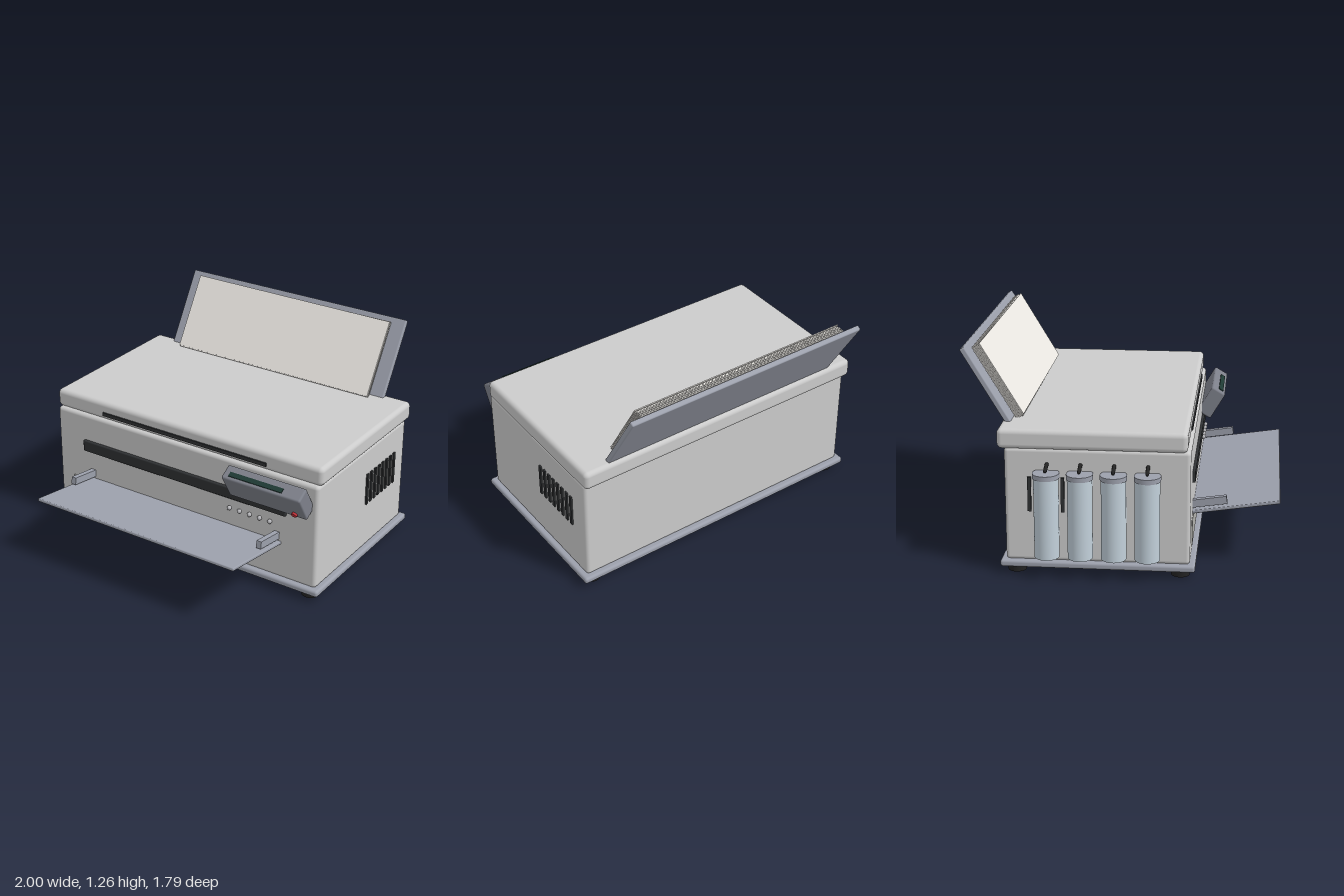
import * as THREE from 'three';
import { RoundedBoxGeometry } from 'three/addons/geometries/RoundedBoxGeometry.js';

const mat = (color) => new THREE.MeshStandardMaterial({ color });
const shell = mat(0xdcdcdc), trim = mat(0x9ca0ac), dark = mat(0x2f3133), rubber = mat(0x222222);
const paper = mat(0xeeebe6), tank = mat(0xc2d0da), panelGrey = mat(0x7d808a);
const windowGrey = mat(0xb2b2ae), screenGreen = mat(0x1f3a34), red = mat(0xc03038), metal = mat(0xb8b8bc);

export function createModel() {
  const model = new THREE.Group();

  const add = (name, geometry, material, x, y, z, parent = model) => {
    const mesh = new THREE.Mesh(geometry, material);
    mesh.name = name;
    mesh.position.set(x, y, z);
    parent.add(mesh);
    return mesh;
  };
  // Box given by its extents on each axis, rounded when r > 0
  const block = (name, material, [x0, x1], [y0, y1], [z0, z1], r = 0) => {
    const size = [x1 - x0, y1 - y0, z1 - z0];
    const geometry = r ? new RoundedBoxGeometry(...size, 4, r) : new THREE.BoxGeometry(...size);
    return add(name, geometry, material, (x0 + x1) / 2, (y0 + y1) / 2, (z0 + z1) / 2);
  };

  // Housing
  block('basePlate', trim, [-0.91, 1.0], [0.04, 0.08], [-0.66, 0.435], 0.015);
  block('body', shell, [-0.88, 0.97], [0.075, 0.735], [-0.63, 0.405], 0.022);
  block('lid', shell, [-0.893, 0.982], [0.73, 0.843], [-0.668, 0.388], 0.028);

  // Feet
  for (const x of [-0.825, 0.91])
    for (const z of [-0.575, 0.35])
      add('foot', new THREE.CylinderGeometry(0.052, 0.052, 0.045, 32), rubber, x, 0.0225, z);

  // Front details
  block('lidGrip', dark, [-0.54, 0.62], [0.758, 0.78], [0.37, 0.397]);
  block('outputSlot', dark, [-0.68, 0.77], [0.492, 0.565], [0.38, 0.422], 0.008);
  block('frontWindow', windowGrey, [-0.77, 0.39], [0.155, 0.295], [0.39, 0.412]);
  for (let i = 0; i < 5; i++)
    add('button', new THREE.SphereGeometry(0.014, 16, 12), metal, 0.39 + i * 0.069, 0.43, 0.417);

  // Output tray, rising towards the front, with two paper guides
  const outputTray = new THREE.Group();
  outputTray.name = 'outputTray';
  outputTray.position.set(0.045, 0.341, 0.64);
  outputTray.rotation.x = -0.15;
  model.add(outputTray);
  add('trayPlate', new RoundedBoxGeometry(1.385, 0.02, 0.525, 2, 0.006), trim, 0, 0, 0, outputTray);
  for (const s of [-1, 1])
    add('paperGuide', new THREE.BoxGeometry(0.032, 0.045, 0.23), trim, s * 0.664, 0.045, -0.15, outputTray);

  // Tilted control panel
  const controlPanel = new THREE.Group();
  controlPanel.name = 'controlPanel';
  controlPanel.position.set(0.677, 0.645, 0.463);
  controlPanel.rotation.x = 0.536;
  model.add(controlPanel);
  add('panelHousing', new RoundedBoxGeometry(0.515, 0.186, 0.095, 3, 0.012), panelGrey, 0, 0, 0, controlPanel);
  add('display', new THREE.BoxGeometry(0.35, 0.014, 0.03), screenGreen, -0.042, 0.091, 0.012, controlPanel);
  const power = add('powerButton', new THREE.CylinderGeometry(0.017, 0.017, 0.022, 24), red, 0.188, -0.058, 0.05, controlPanel);
  power.rotation.x = Math.PI / 2;

  // Vents on both sides
  for (const x of [-0.88, 0.97])
    for (let i = 0; i < 8; i++)
      block('ventSlot', dark, [x - 0.01, x + 0.01], [0.37, 0.57], [-0.5 + i * 0.0465, -0.48 + i * 0.0465]);

  // Ink tanks with caps and short feed tubes
  for (let i = 0; i < 4; i++) {
    const z = -0.39 + i * 0.187;
    add('inkTank', new THREE.CylinderGeometry(0.07, 0.07, 0.465, 40), tank, -0.925, 0.3525, z);
    add('tankCap', new THREE.CylinderGeometry(0.075, 0.075, 0.028, 40), trim, -0.925, 0.597, z);
    const path = new THREE.CatmullRomCurve3([
      new THREE.Vector3(-0.948, 0.628, z),
      new THREE.Vector3(-0.915, 0.638, z),
      new THREE.Vector3(-0.872, 0.648, z),
    ]);
    add('feedTube', new THREE.TubeGeometry(path, 8, 0.011, 10), rubber, 0, 0, 0);
    for (const p of [path.points[0], path.points[2]])
      add('tubeEnd', new THREE.SphereGeometry(0.011, 10, 8), rubber, p.x, p.y, p.z);
  }

  // Rear paper support leaning back; its origin lies where it meets the lid
  const support = new THREE.Group();
  support.name = 'paperSupport';
  support.position.set(0.04, 0.835, -0.625);
  support.rotation.x = -0.54;
  model.add(support);
  add('supportPlate', new RoundedBoxGeometry(1.555, 0.53, 0.032, 2, 0.008), trim, 0, 0.225, 0, support);

  // Loose stack of sheets
  let seed = 7;
  const jitter = (a) => {
    seed = (seed * 16807) % 2147483647;
    return (seed / 2147483647 - 0.5) * a;
  };
  for (let i = 0; i < 6; i++) {
    const sheet = add('paperSheet', new THREE.BoxGeometry(1.385, 0.47, 0.006), paper,
      0.005 + jitter(0.014), 0.215 + jitter(0.012), 0.03 + i * 0.0085, support);
    sheet.rotation.z = jitter(0.008);
  }

  return model;
}
